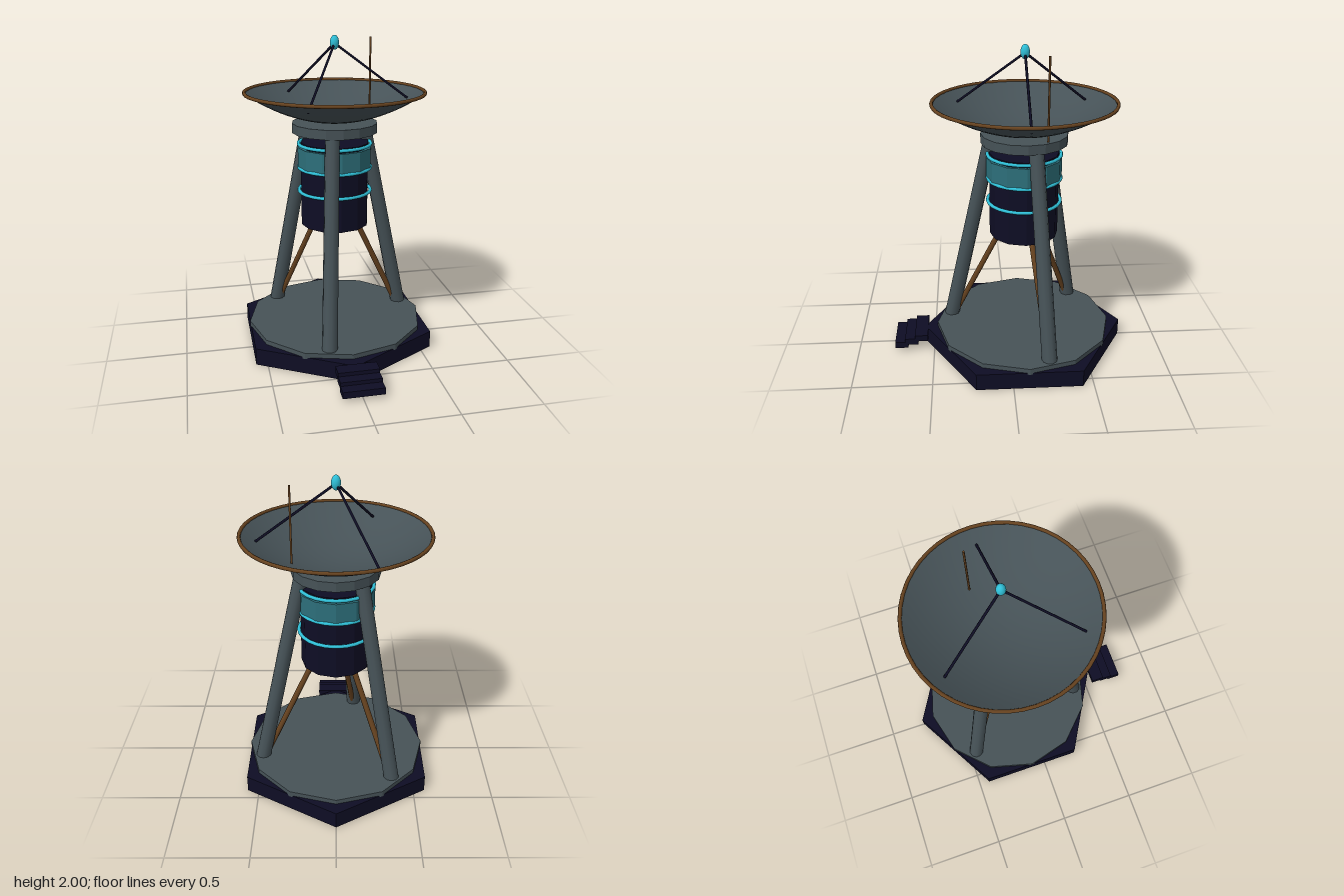
import * as THREE from 'three';

export function createModel() {
  const mat = (name, color, side = THREE.FrontSide) => {
    const m = new THREE.MeshStandardMaterial({ color, side });
    m.name = name;
    return m;
  };
  const grey = mat('slate grey', 0x465257, THREE.DoubleSide);
  const navy = mat('dark navy', 0x0e0d24);
  const brown = mat('bronze brown', 0x66421f);
  const teal = mat('muted teal', 0x2d6f7a);
  const cyan = mat('bright cyan', 0x2fc0d8);

  const model = new THREE.Group();
  model.name = 'dishTower';
  // The tower stands slightly behind the origin, the steps extend in front
  const tower = new THREE.Group();
  tower.name = 'tower';
  tower.position.z = -0.1;
  model.add(tower);

  const add = (name, geo, material, parent = tower) => {
    const mesh = new THREE.Mesh(geo, material);
    mesh.name = name;
    parent.add(mesh);
    return mesh;
  };
  // Upright prism between two heights
  const drum = (name, r, y0, y1, sides, material) => {
    const geo = new THREE.CylinderGeometry(r, r, y1 - y0, sides).toNonIndexed();
    geo.computeVertexNormals();
    add(name, geo, material).position.y = (y0 + y1) / 2;
  };
  // Round bar between two points
  const bar = (name, a, b, r0, r1, sides, material) => {
    const dir = b.clone().sub(a);
    const mesh = add(name, new THREE.CylinderGeometry(r1, r0, dir.length(), sides), material);
    mesh.position.copy(a).addScaledVector(dir, 0.5);
    mesh.quaternion.setFromUnitVectors(new THREE.Vector3(0, 1, 0), dir.normalize());
  };
  const ring = (name, r, tube, y, segments, material) => {
    const mesh = add(name, new THREE.TorusGeometry(r, tube, 8, segments), material);
    mesh.rotation.x = Math.PI / 2;
    mesh.position.y = y;
  };
  const polar = (deg, r, y) => {
    const a = THREE.MathUtils.degToRad(deg);
    return new THREE.Vector3(r * Math.cos(a), y, r * Math.sin(a));
  };

  // Base, deck and collar
  drum('base', 0.66, 0, 0.11, 6, navy);
  drum('deck', 0.576, 0.1, 0.14, 12, grey);
  drum('collar', 0.27, 1.405, 1.465, 16, grey);

  // Hanging tank with its band and rings
  drum('tank', 0.218, 0.8, 1.34, 12, navy);
  drum('tankBand', 0.237, 1.17, 1.31, 12, teal);
  for (const y of [1.025, 1.178, 1.33]) ring('tankRing', 0.23, 0.011, y, 24, cyan);

  // Tripod legs and the braces from their feet to the tank
  for (const deg of [-15, 105, 225]) {
    bar('leg', polar(deg, 0.5, 0.12), polar(deg, 0.21, 1.42), 0.049, 0.045, 10, grey);
    bar('brace', polar(deg, 0.47, 0.15), polar(deg, 0.13, 0.84), 0.018, 0.018, 8, brown);
  }

  // Parabolic dish and rim
  const dishY = (r) => 1.468 + 0.19 * (r / 0.56) ** 2;
  const profile = [];
  for (let i = 0; i <= 12; i++) {
    const r = (0.56 * i) / 12;
    profile.push(new THREE.Vector2(r, dishY(r)));
  }
  add('dish', new THREE.LatheGeometry(profile, 40), grey);
  ring('dishRim', 0.56, 0.011, 1.656, 48, brown);

  // Feed and its three struts
  const feed = add('feed', new THREE.SphereGeometry(0.028, 16, 12), cyan);
  feed.scale.y = 1.6;
  feed.position.y = 1.955;
  for (const deg of [0, 120, 240]) {
    bar('feedStrut', polar(deg, 0.47, dishY(0.47)), new THREE.Vector3(0, 1.95, 0), 0.008, 0.008, 6, navy);
  }

  // Whip antenna passing through the dish
  bar('antenna', new THREE.Vector3(0.255, 1.48, -0.117), new THREE.Vector3(0.255, 1.977, -0.117), 0.0065, 0.0065, 6, brown);

  // Entry steps
  for (let i = 0; i < 3; i++) {
    const step = add('step', new THREE.BoxGeometry(0.254, 0.042, 0.085), navy, model);
    step.position.set(0, 0.047 + 0.0235 * i, 0.715 - 0.066 * i);
  }

  return model;
}
